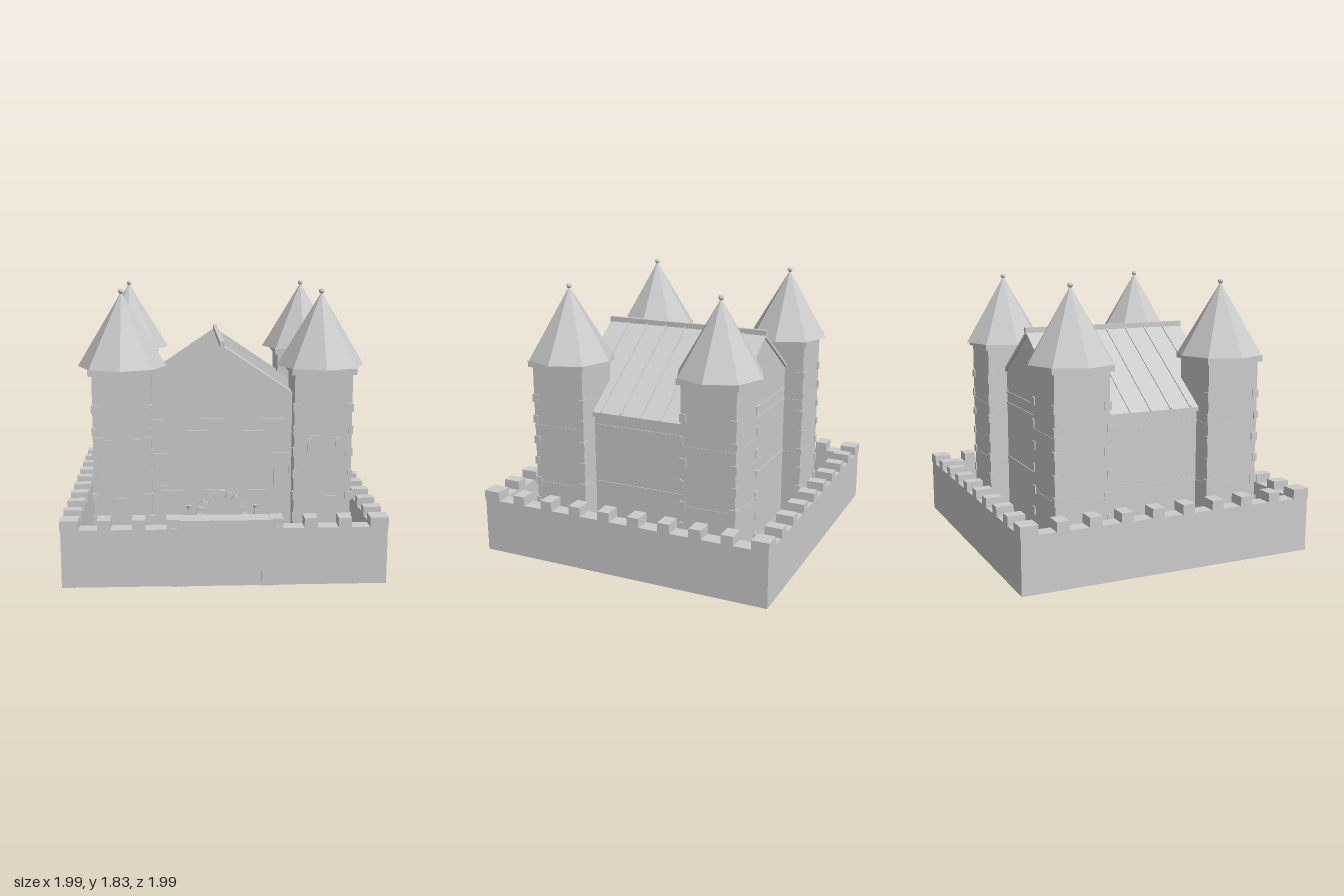
import * as THREE from 'three';

const mat = new THREE.MeshStandardMaterial({ color: 0xcccccc, flatShading: true });

function add(parent, name, geo, x = 0, y = 0, z = 0) {
  const m = new THREE.Mesh(geo, mat);
  m.name = name;
  m.position.set(x, y, z);
  parent.add(m);
  return m;
}

// Box given by its limits on each axis
function box(parent, name, x0, x1, y0, y1, z0, z1) {
  return add(parent, name, new THREE.BoxGeometry(x1 - x0, y1 - y0, z1 - z0),
    (x0 + x1) / 2, (y0 + y1) / 2, (z0 + z1) / 2);
}

function group(parent, name, x = 0, y = 0, z = 0) {
  const g = new THREE.Group();
  g.name = name;
  g.position.set(x, y, z);
  parent.add(g);
  return g;
}

// Outer wall ring with merlons and gate
function buildWall(root) {
  const wall = group(root, 'curtainWall');
  const o = 0.99, i = 0.89, y0 = 0.06, y1 = 0.42;
  box(wall, 'frontWall', -o, o, y0, y1, i, o);
  box(wall, 'backWall', -o, o, y0, y1, -o, -i);
  for (const s of [-1, 1]) {
    const c = s * 0.94;
    box(wall, 'sideWall', c - 0.05, c + 0.05, y0, y1, -i, i);
  }
  const merlon = new THREE.BoxGeometry(0.08, 0.065, 0.112);
  const corner = new THREE.BoxGeometry(0.112, 0.065, 0.112);
  for (let k = 0; k < 10; k++) {
    const p = -0.938 + k * 0.2084;
    const end = k === 0 || k === 9;
    const geo = end ? corner : merlon;
    if (Math.abs(p) > 0.3) add(wall, 'merlon', geo, p, 0.448, 0.938);
    add(wall, 'merlon', geo, p, 0.448, -0.938);
    if (end) continue;
    for (const s of [-1, 1]) add(wall, 'merlon', merlon, s * 0.938, 0.448, p).rotation.y = Math.PI / 2;
  }

  // Gate surround, lintel, crown and door leaf
  const gate = group(root, 'gate');
  for (const s of [-1, 1]) {
    const c = s * 0.2725;
    box(gate, 'gatePost', c - 0.0525, c + 0.0525, y0, 0.43, 0.875, 1.0);
  }
  box(gate, 'gateLintel', -0.22, 0.22, 0.375, 0.43, 0.875, 1.0);
  box(gate, 'gateCrown', -0.285, 0.285, 0.43, 0.475, 0.875, 1.0);
  box(gate, 'gateDoor', -0.22, 0.22, y0, 0.375, 0.88, 0.993);
}

// Square tower with quoins, slits, cornice and eight-sided roof
function buildTower(root, x, z) {
  const t = group(root, 'tower', x, 0, z);
  const h = 0.18;
  box(t, 'towerBody', -h, h, 0, 1.31, -h, h);
  box(t, 'cornice', -0.202, 0.202, 1.31, 1.35, -0.202, 0.202);
  for (const y of [0.53, 0.92]) box(t, 'band', -h - 0.003, h + 0.003, y - 0.006, y + 0.006, -h - 0.003, h + 0.003);

  for (let k = 0; k < 8; k++) {
    const y = 0.115 + k * 0.141;
    const wide = k % 2 ? 0.045 : 0.03;
    for (const sx of [-1, 1]) for (const sz of [-1, 1]) {
      const c = h + 0.008 - wide / 2;
      add(t, 'quoin', new THREE.BoxGeometry(wide, 0.052, wide), sx * c, y, sz * c);
    }
  }
  for (const sx of [-0.088, 0.088]) {
    box(t, 'arrowSlit', sx - 0.007, sx + 0.007, 0.81, 0.895, h - 0.005, h + 0.006);
    box(t, 'slitHead', sx - 0.019, sx + 0.019, 0.895, 0.912, h - 0.005, h + 0.014);
  }
  add(t, 'towerRoof', new THREE.ConeGeometry(0.278, 0.46, 8), 0, 1.58, 0);
  add(t, 'finial', new THREE.SphereGeometry(0.017, 10, 8), 0, 1.815, 0);
}

// Gabled hall with ledges, windows and ribbed roof
function buildHall(root) {
  const hall = group(root, 'hall');
  const w = 0.66, zb = -0.57, zf = 0.555;
  const profile = new THREE.Shape([[-w, 0], [w, 0], [w, 1.01], [0, 1.46], [-w, 1.01]]
    .map(([x, y]) => new THREE.Vector2(x, y)));
  add(hall, 'hallBody', new THREE.ExtrudeGeometry(profile, { depth: zf - zb, bevelEnabled: false }), 0, 0, zb);
  for (const [y0, y1] of [[0, 0.05], [0.525, 0.545], [0.92, 0.935], [1.0, 1.012]]) {
    box(hall, 'ledge', -w - 0.006, w + 0.006, y0, y1, zb - 0.006, zf + 0.006);
  }

  // Roof slopes, each a thin parallelogram run along the hall
  const roof = group(root, 'hallRoof');
  for (const s of [-1, 1]) {
    const slope = new THREE.Shape([[0, 1.455], [s * 0.685, 0.993], [s * 0.685, 1.018], [0, 1.48]]
      .map(([x, y]) => new THREE.Vector2(x, y)));
    add(roof, 'roofSlope', new THREE.ExtrudeGeometry(slope, { depth: 1.15, bevelEnabled: false }), 0, 0, -0.585);
    for (let k = -3; k <= 3; k++) {
      const rib = add(roof, 'roofRib', new THREE.BoxGeometry(0.82, 0.012, 0.01), s * 0.342, 1.25, -0.005 + k * 0.143);
      rib.rotation.z = -s * Math.atan2(0.462, 0.685);
    }
  }
  box(roof, 'ridgeBeam', -0.014, 0.014, 1.465, 1.505, -0.59, 0.57);

  for (const s of [-1, 1]) {
    const c = s * 0.388;
    box(hall, 'windowPane', c - 0.045, c + 0.045, 0.58, 0.78, zf - 0.01, zf + 0.006);
    for (const e of [-1, 1]) {
      box(hall, 'windowJamb', c + e * 0.048 - 0.005, c + e * 0.048 + 0.005, 0.57, 0.79, zf - 0.01, zf + 0.012);
      const y = 0.68 + e * 0.105;
      box(hall, 'windowRail', c - 0.043, c + 0.043, y - 0.005, y + 0.005, zf - 0.01, zf + 0.012);
    }
  }
}

// Arched doorway with voussoirs, torches and a step
function buildDoorway(root) {
  const d = group(root, 'doorway');
  const z = 0.555, cy = 0.37, r = 0.145;
  const leaf = new THREE.Shape();
  leaf.moveTo(-0.125, 0.05);
  leaf.lineTo(0.125, 0.05);
  leaf.lineTo(0.125, cy);
  leaf.absarc(0, cy, 0.125, 0, Math.PI, false);
  add(d, 'doorLeaf', new THREE.ExtrudeGeometry(leaf, { depth: 0.008, bevelEnabled: false, curveSegments: 12 }), 0, 0, z);
  for (let k = 0; k <= 10; k++) {
    const a = (k / 10) * Math.PI;
    const key = k === 5;
    const stone = add(d, key ? 'keystone' : 'archStone',
      new THREE.BoxGeometry(key ? 0.055 : 0.042, 0.036, key ? 0.04 : 0.03),
      Math.cos(a) * r, cy + Math.sin(a) * r, z + 0.008);
    stone.rotation.z = a;
  }
  for (const s of [-1, 1]) {
    for (let k = 0; k < 6; k++) {
      add(d, 'jambStone', new THREE.BoxGeometry(0.042, 0.044, 0.03), s * r, 0.08 + k * 0.049, z + 0.008);
    }
    const torch = group(d, 'torch', s * 0.215, 0.41, z + 0.015);
    add(torch, 'torchHandle', new THREE.CylinderGeometry(0.008, 0.005, 0.06, 6), 0, -0.01, 0);
    add(torch, 'torchCup', new THREE.CylinderGeometry(0.016, 0.008, 0.02, 6), 0, 0.025, 0);
    box(torch, 'torchBracket', -0.005, 0.005, -0.012, 0, -0.02, 0);
  }
  box(d, 'doorStep', -0.205, 0.205, 0, 0.07, 0.54, 0.755);
}

export function createModel() {
  const root = new THREE.Group();
  root.name = 'castle';
  buildWall(root);
  buildHall(root);
  buildDoorway(root);
  for (const x of [-0.627, 0.627]) for (const z of [-0.525, 0.518]) buildTower(root, x, z);
  return root;
}
